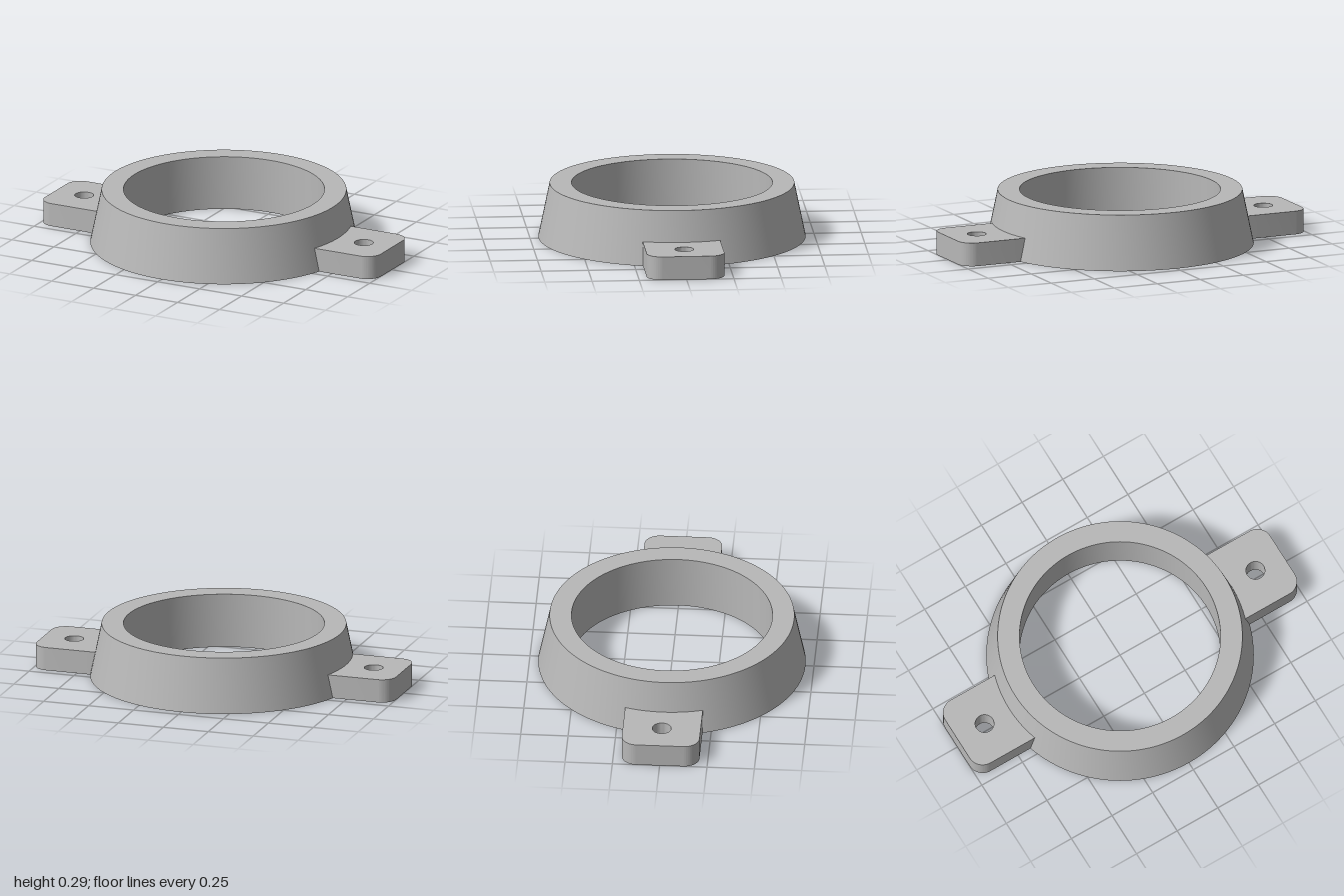
import * as THREE from 'three';
import { toCreasedNormals } from 'three/addons/utils/BufferGeometryUtils.js';

const HEIGHT = 0.29, BORE = 0.53, R_BOTTOM = 0.705, R_TOP = 0.645;
const TAB_HEIGHT = 0.125, TAB_HALF = 0.205, CORNER = 0.08;
const HOLE_X = 0.833, HOLE_R = 0.05;

// Tapered collar with a straight bore
function collarGeometry() {
  const profile = [
    [BORE, 0], [R_BOTTOM, 0], [R_TOP, HEIGHT], [BORE, HEIGHT], [BORE, 0],
  ].map(([r, y]) => new THREE.Vector2(r, y));
  return toCreasedNormals(new THREE.LatheGeometry(profile, 128), 0.5);
}

// Mounting ear: rounded outer corners, screw hole, curved root inside the collar wall
function earGeometry() {
  const root = 0.62, a = Math.asin(TAB_HALF / root);
  const s = new THREE.Shape();
  s.moveTo(root * Math.cos(a), -TAB_HALF);
  s.lineTo(1 - CORNER, -TAB_HALF);
  s.absarc(1 - CORNER, -TAB_HALF + CORNER, CORNER, -Math.PI / 2, 0, false);
  s.absarc(1 - CORNER, TAB_HALF - CORNER, CORNER, 0, Math.PI / 2, false);
  s.lineTo(root * Math.cos(a), TAB_HALF);
  s.absarc(0, 0, root, a, -a, true);
  const hole = new THREE.Path();
  hole.absarc(HOLE_X, 0, HOLE_R, 0, Math.PI * 2, true);
  s.holes.push(hole);
  const g = new THREE.ExtrudeGeometry(s, { depth: TAB_HEIGHT, bevelEnabled: false, curveSegments: 20 });
  g.rotateX(-Math.PI / 2);
  return toCreasedNormals(g, 0.5);
}

export function createModel() {
  const grey = new THREE.MeshStandardMaterial({ color: 0xb8b8b8 });
  grey.name = 'light grey';
  const model = new THREE.Group();
  model.name = 'mountingCollar';

  const collar = new THREE.Mesh(collarGeometry(), grey);
  collar.name = 'collar';
  model.add(collar);

  // One ear on each side
  const ear = earGeometry();
  ['leftEar', 'rightEar'].forEach((name, i) => {
    const mesh = new THREE.Mesh(ear, grey);
    mesh.name = name;
    mesh.rotation.y = i * Math.PI;
    model.add(mesh);
  });
  return model;
}
